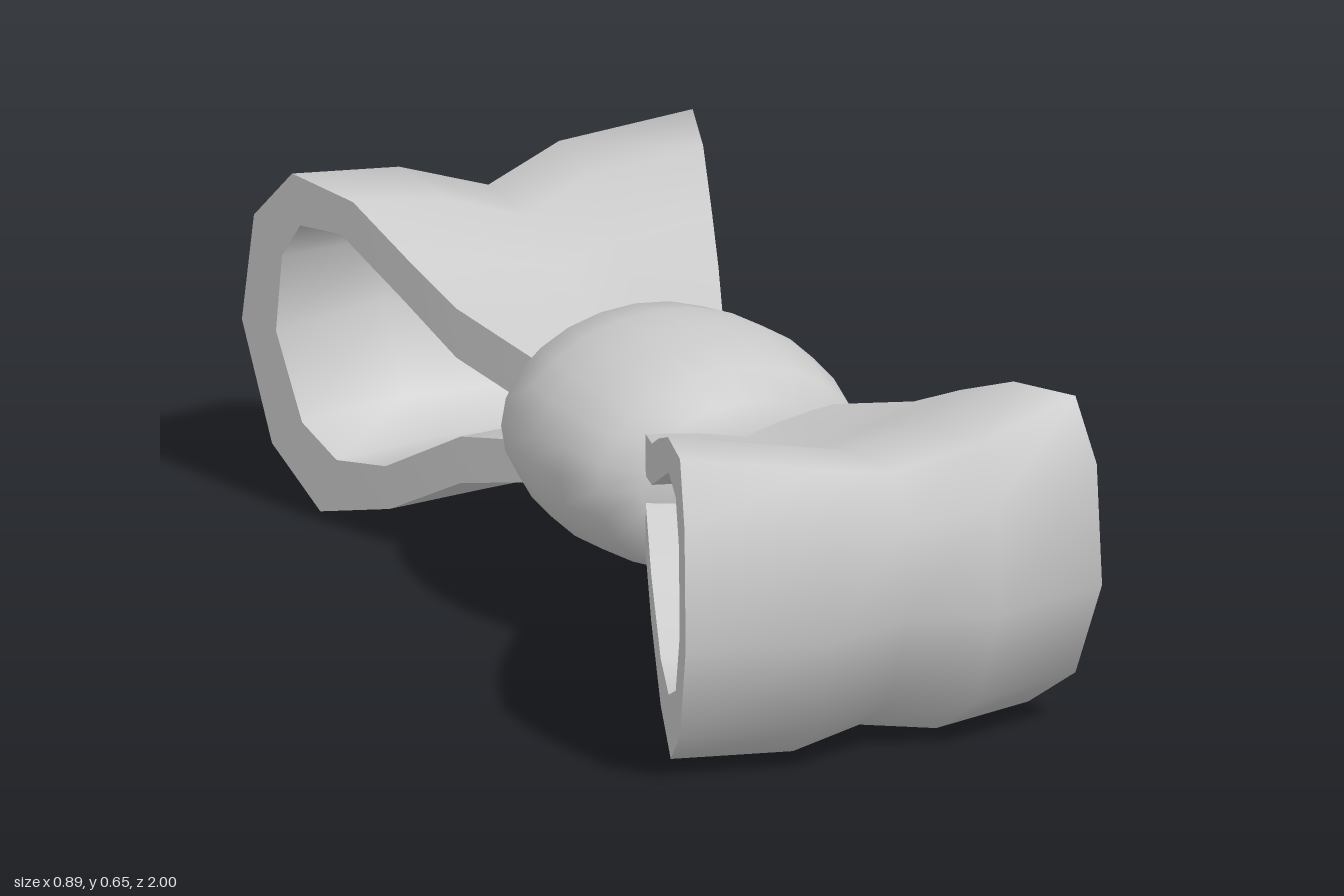
import * as THREE from 'three';
import { mergeGeometries } from 'three/addons/utils/BufferGeometryUtils.js';

// Loop cross-sections as [distance from the knot, height], top strip -> tip -> bottom strip
const FRONT = {
  outer: [[.23, .45], [.42, .505], [.54, .56], [.68, .615], [.85, .635], [.91, .52], [.925, .29], [.85, .1], [.72, .007], [.57, .055], [.41, .155], [.23, .22]],
  inner: [[.23, .37], [.42, .425], [.55, .485], [.69, .55], [.79, .54], [.835, .46], [.845, .29], [.79, .165], [.69, .12], [.57, .145], [.41, .245], [.23, .32]],
  trim: .1,
};
const BACK = {
  outer: [[.23, .445], [.41, .5], [.52, .56], [.66, .64], [.81, .655], [.905, .55], [.935, .34], [.86, .12], [.74, .02], [.57, .07], [.4, .165], [.23, .21]],
  inner: [[.23, .35], [.41, .405], [.54, .485], [.69, .57], [.79, .56], [.835, .49], [.85, .34], [.785, .18], [.7, .13], [.58, .15], [.4, .255], [.23, .29]],
  trim: 0,
};
// Columns across the ribbon: position, stretch of the tip, sag of the top, lift of the bottom
const COLUMNS = [[-1, 1, 0, 0], [-.4, 1.1, .04, -.004], [0, 1.03, .085, .012], [.4, 1.1, .04, -.004], [1, 1, 0, 0]];

// Smooth surface through a grid of points
function patch(rows, flip) {
  const n = rows[0].length, index = [];
  for (let i = 0; i < rows.length - 1; i++) {
    for (let j = 0; j < n - 1; j++) {
      const a = i * n + j, b = a + n, c = a + 1, d = b + 1;
      index.push(...(flip ? [a, c, b, c, d, b] : [a, b, c, c, b, d]));
    }
  }
  const g = new THREE.BufferGeometry();
  g.setAttribute('position', new THREE.Float32BufferAttribute(rows.flat(2), 3));
  g.setIndex(index);
  g.computeVertexNormals();
  return g;
}

// Ribbon that flares away from the knot and is pinched along its middle
function ribbon({ outer, inner, trim }, side) {
  const bend = (profile) => profile.map(([d, y]) => COLUMNS.map(([u, stretch, sag, lift]) => {
    const t = Math.max(d - .23, 0) / .7;
    const half = (.19 + .255 * Math.pow(t, .9)) * (u > 0 ? 1 - trim * t : 1);
    const h = (y - .34) / .3;
    return [u * half, y - sag * Math.max(h, 0) + lift * Math.max(-h, 0), side * (.25 + (d - .25) * stretch)];
  }));
  const o = bend(outer), i = bend(inner), back = side < 0;
  const end = o.length - 1, last = COLUMNS.length - 1;
  const rim = (j) => o.map((row, k) => [row[j], i[k][j]]);
  return mergeGeometries([
    patch(o, back), patch(i, !back),
    patch(rim(last), back), patch(rim(0), !back),
    patch([i[0], o[0]], back), patch([o[end], i[end]], back),
  ]);
}

export function createModel() {
  const group = new THREE.Group();
  const material = new THREE.MeshStandardMaterial({ color: 0xcccccc });
  const add = (name, geometry) => {
    const mesh = new THREE.Mesh(geometry, material);
    mesh.name = name;
    group.add(mesh);
    return mesh;
  };

  add('frontLoop', ribbon(FRONT, 1));
  add('backLoop', ribbon(BACK, -1));

  // Barrel-shaped knot with domed ends
  const half = [[0, .275], [.35, .265], [.65, .243], [.88, .2], [.965, .1]];
  const profile = [
    ...half.map(([r, z]) => [r, -z]), [1, 0],
    ...half.slice().reverse(),
  ].map(([r, z]) => new THREE.Vector2(r, z));
  const knot = new THREE.LatheGeometry(profile, 24);
  knot.rotateX(Math.PI / 2);
  knot.scale(.308, .222, 1);
  add('knot', knot).position.set(0, .338, -.01);

  return group;
}
